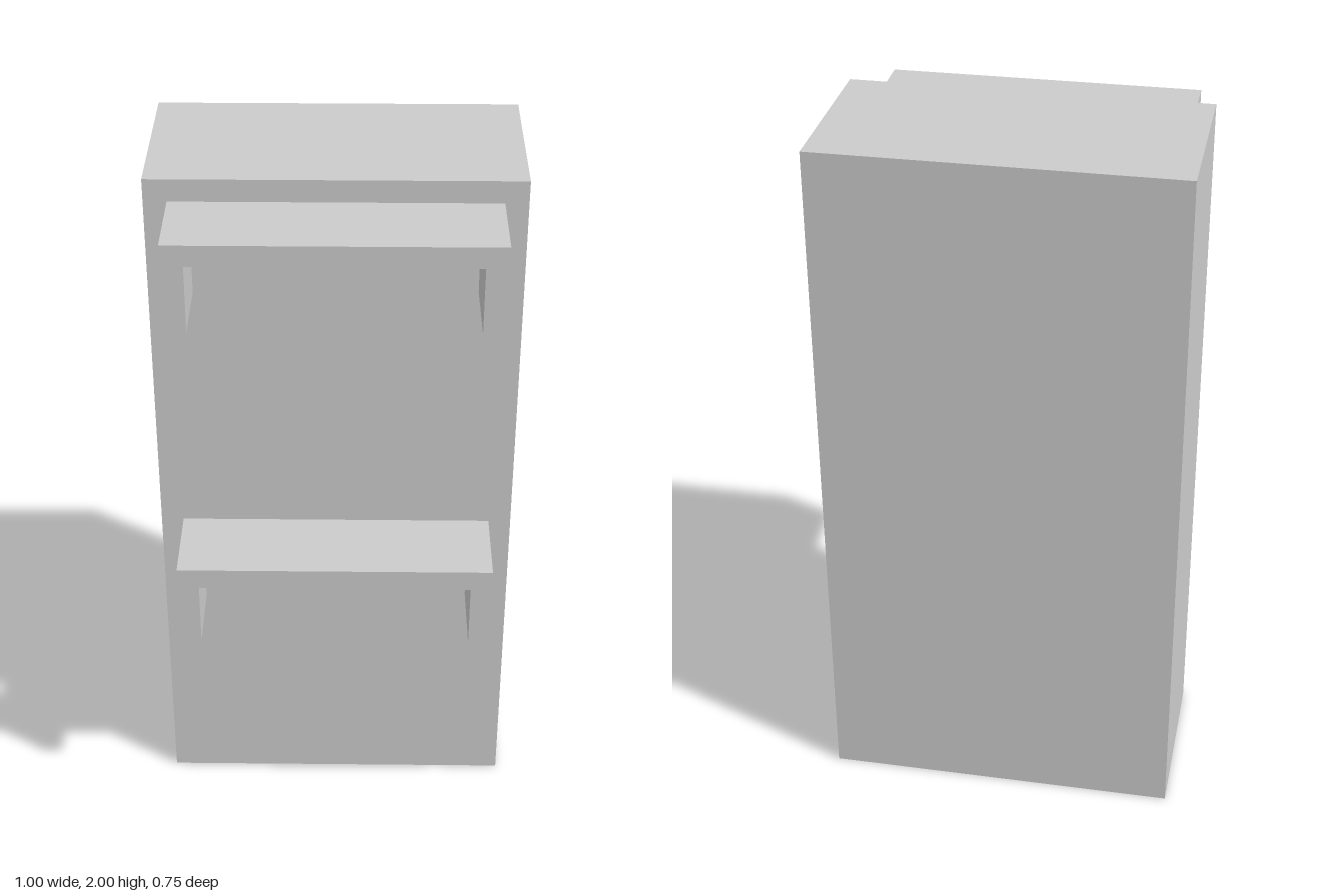
import * as THREE from 'three';

export function createModel() {
  const model = new THREE.Group();
  model.name = 'signalBox';
  const material = new THREE.MeshStandardMaterial({ color: 0xcccccc, flatShading: true });

  const addBox = (name, parent, w, h, d, x, y, z) => {
    const mesh = new THREE.Mesh(new THREE.BoxGeometry(w, h, d), material);
    mesh.name = name;
    mesh.position.set(x, y, z);
    parent.add(mesh);
  };

  // Main housing
  addBox('housing', model, 1, 2, 0.5, 0, 1, -0.125);

  // Hood outline: an upside-down U, extruded forward
  const hoodShape = new THREE.Shape([
    [-0.4375, 0.69], [-0.378, 0.69], [-0.378, 0.878], [0.378, 0.878],
    [0.378, 0.69], [0.4375, 0.69], [0.4375, 0.9375], [-0.4375, 0.9375],
  ].map(([x, y]) => new THREE.Vector2(x, y)));
  const hoodGeometry = new THREE.ExtrudeGeometry(hoodShape, { depth: 0.25, bevelEnabled: false });

  // Two lamps, each a raised square panel under a hood
  ['lower', 'upper'].forEach((level, i) => {
    const lamp = new THREE.Group();
    lamp.name = `${level}Lamp`;
    lamp.position.y = i;
    addBox('panel', lamp, 0.75, 0.75, 0.0625, 0, 0.5, 0.15625);

    const hood = new THREE.Mesh(hoodGeometry, material);
    hood.name = 'hood';
    hood.position.z = 0.125;
    lamp.add(hood);
    model.add(lamp);
  });

  return model;
}
